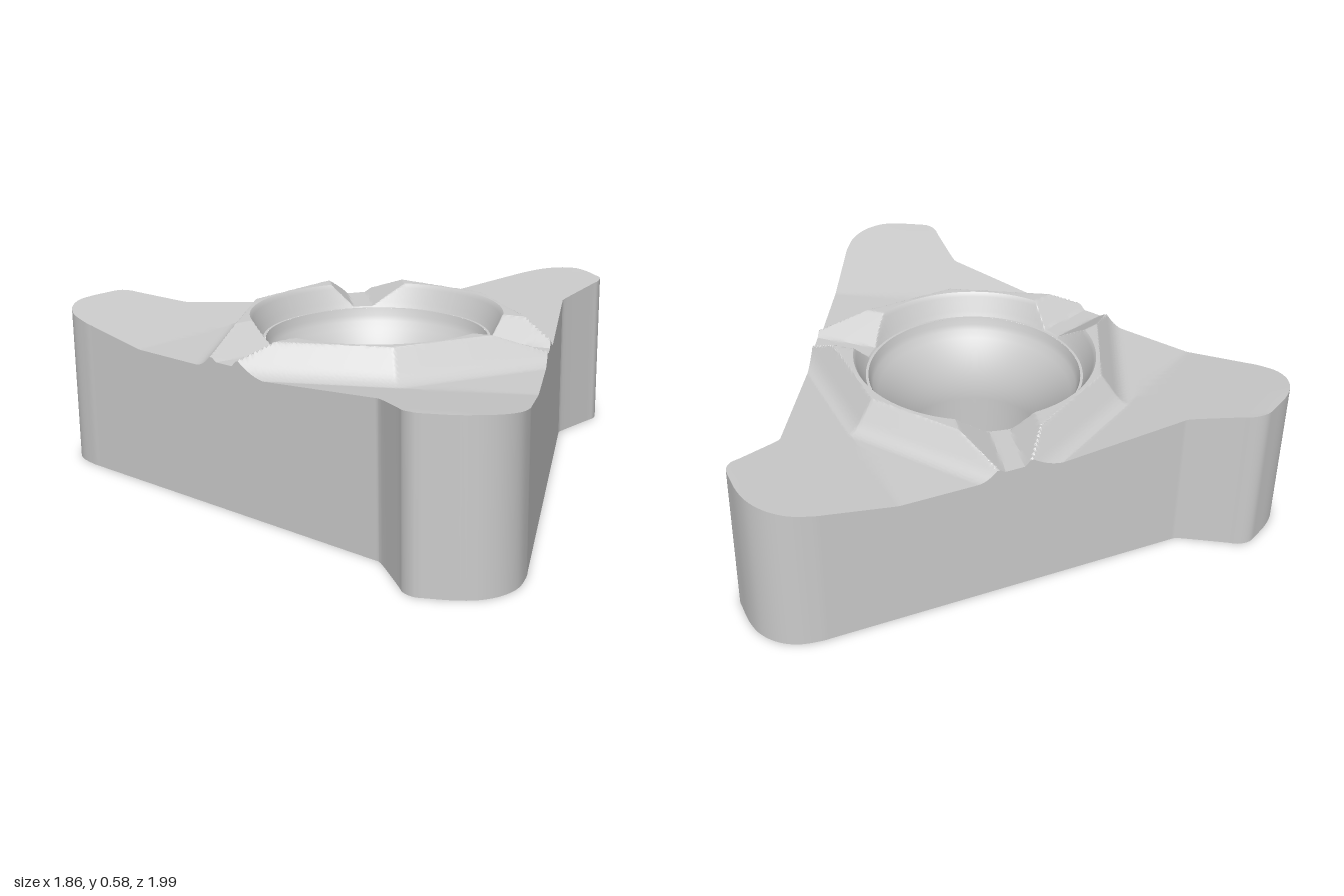
import * as THREE from 'three';
import { toCreasedNormals } from 'three/addons/utils/BufferGeometryUtils.js';

const CX = -0.2, CZ = 0.025;          // axis of the bore
const RIM = 0.385, RIM_Y = 0.5, BORE = 0.275;
const THIRD = Math.PI * 2 / 3;
const rad = THREE.MathUtils.degToRad;
const clamp = THREE.MathUtils.clamp;

const turn = ([x, z], a) => [x * Math.cos(a) - z * Math.sin(a), x * Math.sin(a) + z * Math.cos(a)];
const along = (x, z, a) => x * Math.cos(a) + z * Math.sin(a);

// Sloping wall of the raised centre, with a small fillet at its foot
function wall(d) {
  const u = 0.53 - d;
  if (u < -0.03) return 0.48;
  if (u < 0.03) return 0.48 + 1.32 * (u + 0.03) ** 2 / 0.12;
  return 0.48 + 1.32 * u;
}

// Height of the top face, measured from the bore axis
function height(x, z) {
  const r = Math.hypot(x, z);
  let floor = 0.48;
  let island = Math.min(0.585, RIM_Y + Math.max(0, r - 0.395) * 2.1);
  for (let k = 0; k < 3; k++) {
    const a = k * THIRD;
    // Wing rising towards its tip
    const s = along(x, z, a - Math.PI / 2);
    floor = Math.max(floor, Math.min(0.56, 0.48 + Math.max(0, s - 0.545) * 0.17));
    // Two outer walls of the raised centre
    island = Math.min(island, wall(s), wall(along(x, z, a + rad(-124))));
    // Groove cut from the ledge to the side
    const g = a + rad(72);
    if (along(x, z, g) > 0) {
      const t = along(x, z, g - Math.PI / 2);
      const side = t > 0 ? (t - 0.035) * 1.0 : (-t - 0.035) * 0.65;
      island = Math.min(island, 0.505 + Math.max(0, side));
    }
  }
  return Math.max(floor, island);
}

// Outline seen from above: one wing and one long side, repeated three times
function makeOutline() {
  const rel = (x, z) => new THREE.Vector2(x - CX, z - CZ);
  const tip = new THREE.SplineCurve([
    [-0.351, -0.766], [-0.37, -0.795], [-0.44, -0.93], [-0.46, -0.97], [-0.495, -0.996], [-0.54, -1],
    [-0.62, -1], [-0.69, -0.985], [-0.75, -0.945], [-0.79, -0.885], [-0.805, -0.81], [-0.806, -0.77],
  ].map(p => rel(...p))).getPoints(48);
  const end = turn([tip[0].x, tip[0].y], -THIRD);
  const start = tip[tip.length - 1];
  const part = tip.map(p => [p.x, p.y]);
  const n = 130;
  for (let i = 1; i < n; i++) {
    part.push([start.x + (end[0] - start.x) * i / n, start.y + (end[1] - start.y) * i / n]);
  }
  const all = [];
  for (let k = 0; k < 3; k++) for (const p of part) all.push(turn(p, -k * THIRD));
  return all;
}

// Skin a list of closed rings, each an array of [x, y, z]
function skin(rings, crease) {
  const n = rings[0].length, index = [];
  const g = new THREE.BufferGeometry();
  g.setAttribute('position', new THREE.Float32BufferAttribute(rings.flat(2), 3));
  for (let j = 0; j < rings.length - 1; j++) {
    for (let i = 0; i < n; i++) {
      const a = j * n + i, b = j * n + (i + 1) % n;
      index.push(a, a + n, b + n, a, b + n, b);
    }
  }
  g.setIndex(index);
  return toCreasedNormals(g, crease);
}

export function createModel() {
  const group = new THREE.Group();
  const material = new THREE.MeshStandardMaterial({ color: 0xcccccc });
  const add = (name, geometry, mat = material) => {
    const mesh = new THREE.Mesh(geometry, mat);
    mesh.name = name;
    mesh.position.set(CX, 0, CZ);
    group.add(mesh);
  };
  const outline = makeOutline();

  // Sculpted top face: fine rings over the raised centre, coarser over the wings
  const rings = [];
  const inner = 44, outer = 14;
  for (let j = 0; j <= inner + outer; j++) {
    rings.push(outline.map(([x, z]) => {
      const R = Math.hypot(x, z);
      const mid = Math.min(0.595, R);
      const r = j <= inner ? RIM + (mid - RIM) * j / inner : mid + (R - mid) * (j - inner) / outer;
      const px = x / R * r, pz = z / R * r;
      return [px, height(px, pz), pz];
    }));
  }
  add('topFace', skin(rings, rad(22)));

  // Upright side wall
  add('sideWall', skin([rings[rings.length - 1], outline.map(([x, z]) => [x, 0, z])], rad(25)));

  // Flat underside with the bore opening
  const shape = new THREE.Shape(outline.map(([x, z]) => new THREE.Vector2(x, z)));
  shape.holes.push(new THREE.Path().absarc(0, 0, BORE, 0, Math.PI * 2, true));
  add('underside', new THREE.ShapeGeometry(shape, 48).rotateX(Math.PI / 2));

  // Bore with a curved countersink
  const profile = [[RIM, RIM_Y], [0.378, 0.475]];
  for (let i = 0; i <= 10; i++) {
    const t = clamp(i / 10, 0, 1);
    profile.push([BORE + 0.095 * (1 - t) ** 2, 0.455 - 0.255 * t]);
  }
  profile.push([BORE, 0]);
  const boreMaterial = new THREE.MeshStandardMaterial({ color: 0xcccccc, side: THREE.DoubleSide });
  add('bore', new THREE.LatheGeometry(profile.map(p => new THREE.Vector2(...p)), 96), boreMaterial);

  return group;
}
